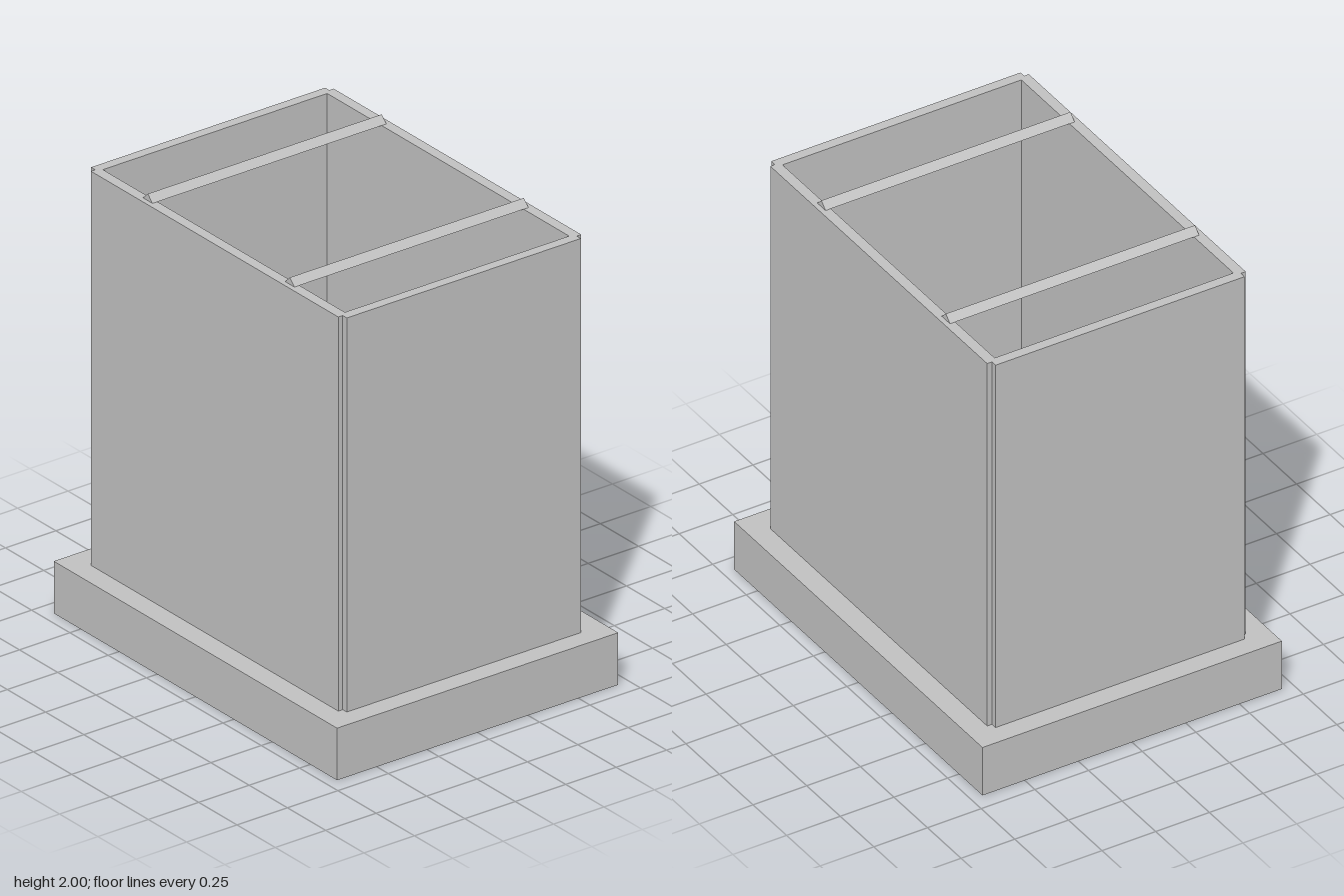
import * as THREE from 'three';

const rect = (PathType, x, z) => {
  const p = new PathType();
  p.moveTo(-x, -z);
  p.lineTo(x, -z);
  p.lineTo(x, z);
  p.lineTo(-x, z);
  p.closePath();
  return p;
};

// Extrudes a plan outline upwards from y0 to y1
function extrudeUp(shape, y0, y1) {
  const g = new THREE.ExtrudeGeometry(shape, { depth: y1 - y0, bevelEnabled: false });
  g.rotateX(-Math.PI / 2);
  g.translate(0, y0, 0);
  return g;
}

export function createModel() {
  const group = new THREE.Group();
  const grey = new THREE.MeshStandardMaterial({ color: 0xc0c0c0 });
  grey.name = 'grey';
  const add = (name, geometry) => {
    const mesh = new THREE.Mesh(geometry, grey);
    mesh.name = name;
    group.add(mesh);
    return mesh;
  };

  // Plinth: a thin floor with a thick frame around a shallow pit
  const floorTop = 0.01, plinthTop = 0.23, wallTop = 1.97;
  add('plinthFloor', extrudeUp(rect(THREE.Shape, 0.925, 0.697), 0, floorTop));
  const frame = rect(THREE.Shape, 0.925, 0.697);
  frame.holes.push(rect(THREE.Path, 0.73, 0.503));
  add('plinthFrame', extrudeUp(frame, floorTop, plinthTop));

  // Hollow walls with a small square notch down each corner
  const ox = 0.835, oz = 0.602, nx = 0.808, nz = 0.58;
  const walls = new THREE.Shape([
    [-nx, -oz], [nx, -oz], [nx, -nz], [ox, -nz], [ox, nz], [nx, nz],
    [nx, oz], [-nx, oz], [-nx, nz], [-ox, nz], [-ox, -nz], [-nx, -nz],
  ].map(([x, z]) => new THREE.Vector2(x, z)));
  walls.holes.push(rect(THREE.Path, 0.79, 0.556));
  add('walls', extrudeUp(walls, plinthTop, wallTop));

  // Two ridged bars lying across the open top
  const ridge = new THREE.Shape();
  ridge.moveTo(-0.031, 0);
  ridge.lineTo(0.031, 0);
  ridge.lineTo(0, 0.03);
  ridge.closePath();
  const bar = new THREE.ExtrudeGeometry(ridge, { depth: 1.16, bevelEnabled: false });
  bar.translate(0, wallTop, -0.58);
  for (const [name, x] of [['leftBar', 0.462], ['rightBar', -0.465]]) {
    add(name, bar).position.x = x;
  }

  return group;
}
